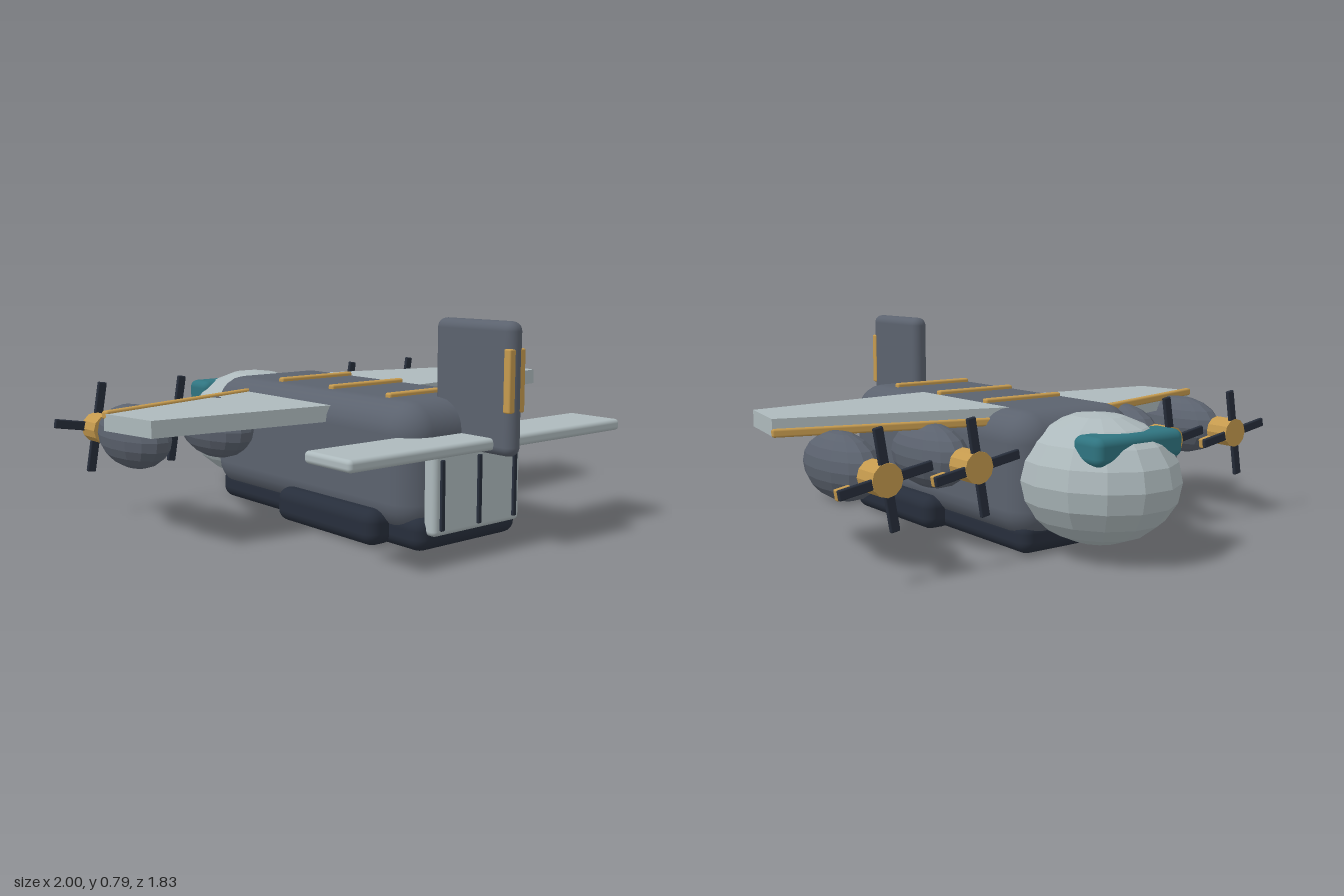
import * as THREE from 'three';
import { RoundedBoxGeometry } from 'three/addons/geometries/RoundedBoxGeometry.js';

const material = (name, color) => {
  const m = new THREE.MeshStandardMaterial({ color });
  m.name = name;
  return m;
};

// Faceted copy of a geometry
const faceted = (geometry) => {
  const g = geometry.toNonIndexed();
  g.computeVertexNormals();
  return g;
};

export function createModel() {
  const slate = material('slate', 0x5b626e);
  const pale = material('paleGrey', 0xadb9bc);
  const navy = material('navy', 0x272e3b);
  const gold = material('gold', 0xc59a4e);
  const teal = material('teal', 0x2f7480);
  const plane = new THREE.Group();
  plane.name = 'cargoPlane';

  const add = (name, geometry, mat, x = 0, y = 0, z = 0, parent = plane) => {
    const mesh = new THREE.Mesh(geometry, mat);
    mesh.name = name;
    mesh.position.set(x, y, z);
    parent.add(mesh);
    return mesh;
  };
  // Rounded box from its limits on each axis
  const block = (name, mat, [x0, x1], [y0, y1], [z0, z1], r, segments = 3) =>
    add(name, new RoundedBoxGeometry(x1 - x0, y1 - y0, z1 - z0, segments, r), mat,
      (x0 + x1) / 2, (y0 + y1) / 2, (z0 + z1) / 2);
  const ellipsoid = (rx, ry, rz) => faceted(new THREE.SphereGeometry(1, 14, 10).scale(rx, ry, rz));

  // Body, belly and side pods
  block('fuselage', slate, [-0.282, 0.282], [0.05, 0.51], [-0.53, 0.695], 0.11);
  block('belly', navy, [-0.25, 0.25], [0, 0.12], [-0.5, 0.712], 0.045);
  for (const s of [-1, 1]) {
    const xs = s > 0 ? [0.2, 0.335] : [-0.335, -0.2];
    block('wheelPod', navy, xs, [0.003, 0.132], [0, 0.56], 0.045);
  }

  // Nose and windscreen
  add('nose', ellipsoid(0.28, 0.235, 0.32), pale, 0, 0.275, -0.6);
  block('windscreen', teal, [-0.2, 0.2], [0.36, 0.46], [-0.83, -0.69], 0.03);

  // Bands across the roof
  for (const z of [-0.165, 0.15, 0.47]) {
    block('roofBand', gold, [-0.18, 0.18], [0.495, 0.525], [z - 0.015, z + 0.015], 0.008, 2);
  }

  // Tapered wings, one turned over to make the other
  const outline = new THREE.Shape();
  outline.moveTo(0.16, -0.322);
  outline.lineTo(0.998, -0.08);
  outline.lineTo(0.955, 0.17);
  outline.lineTo(0.16, 0.262);
  const wing = new THREE.ExtrudeGeometry(outline, { depth: 0.06, bevelEnabled: false });
  wing.rotateX(Math.PI / 2);
  add('leftWing', wing, pale, 0, 0.509, 0);
  add('rightWing', wing, pale, 0, 0.405, 0).rotation.z = Math.PI;

  // Trim along the leading edges
  const sweep = Math.atan2(0.242, 0.838);
  const trim = new RoundedBoxGeometry(0.85, 0.03, 0.03, 2, 0.008);
  for (const s of [-1, 1]) {
    add('leadingEdgeTrim', trim, gold, s * 0.59, 0.46, -0.194).rotation.y = -s * sweep;
  }

  // Engines with four-bladed propellers
  const nacelle = ellipsoid(0.1, 0.118, 0.212);
  const hub = faceted(new THREE.CylinderGeometry(0.057, 0.057, 0.1, 12).rotateX(Math.PI / 2));
  const blade = new RoundedBoxGeometry(0.35, 0.035, 0.016, 2, 0.005);
  const tip = new RoundedBoxGeometry(0.055, 0.038, 0.02, 2, 0.005);
  for (const x of [-0.81, -0.455, 0.455, 0.81]) {
    const engine = new THREE.Group();
    engine.name = 'engine';
    engine.position.set(x, 0.348, 0);
    plane.add(engine);
    add('nacelle', nacelle, slate, 0, 0.002, -0.215, engine);
    add('propellerHub', hub, gold, 0, 0, -0.472, engine);
    const propeller = new THREE.Group();
    propeller.name = 'propeller';
    propeller.position.z = -0.512;
    propeller.rotation.z = -0.17;
    engine.add(propeller);
    add('blade', blade, navy, 0, 0, 0, propeller);
    add('blade', blade, navy, 0, 0, 0, propeller).rotation.z = Math.PI / 2;
    add('bladeTip', tip, gold, 0.15, 0, 0.014, propeller);
  }

  // Tail
  block('fin', slate, [-0.035, 0.035], [0.335, 0.79], [0.553, 0.916], 0.033);
  block('rudderTrim', gold, [-0.039, 0.039], [0.485, 0.7], [0.884, 0.914], 0.006, 2);
  block('tailplane', pale, [-0.665, 0.665], [0.353, 0.395], [0.613, 0.843], 0.015);

  // Rear ramp with ribs
  block('ramp', pale, [-0.215, 0.215], [0.06, 0.355], [0.69, 0.748], 0.018);
  for (const x of [-0.18, 0, 0.18]) {
    block('rampRib', navy, [x - 0.009, x + 0.009], [0.08, 0.325], [0.735, 0.757], 0.004, 2);
  }
  return plane;
}
